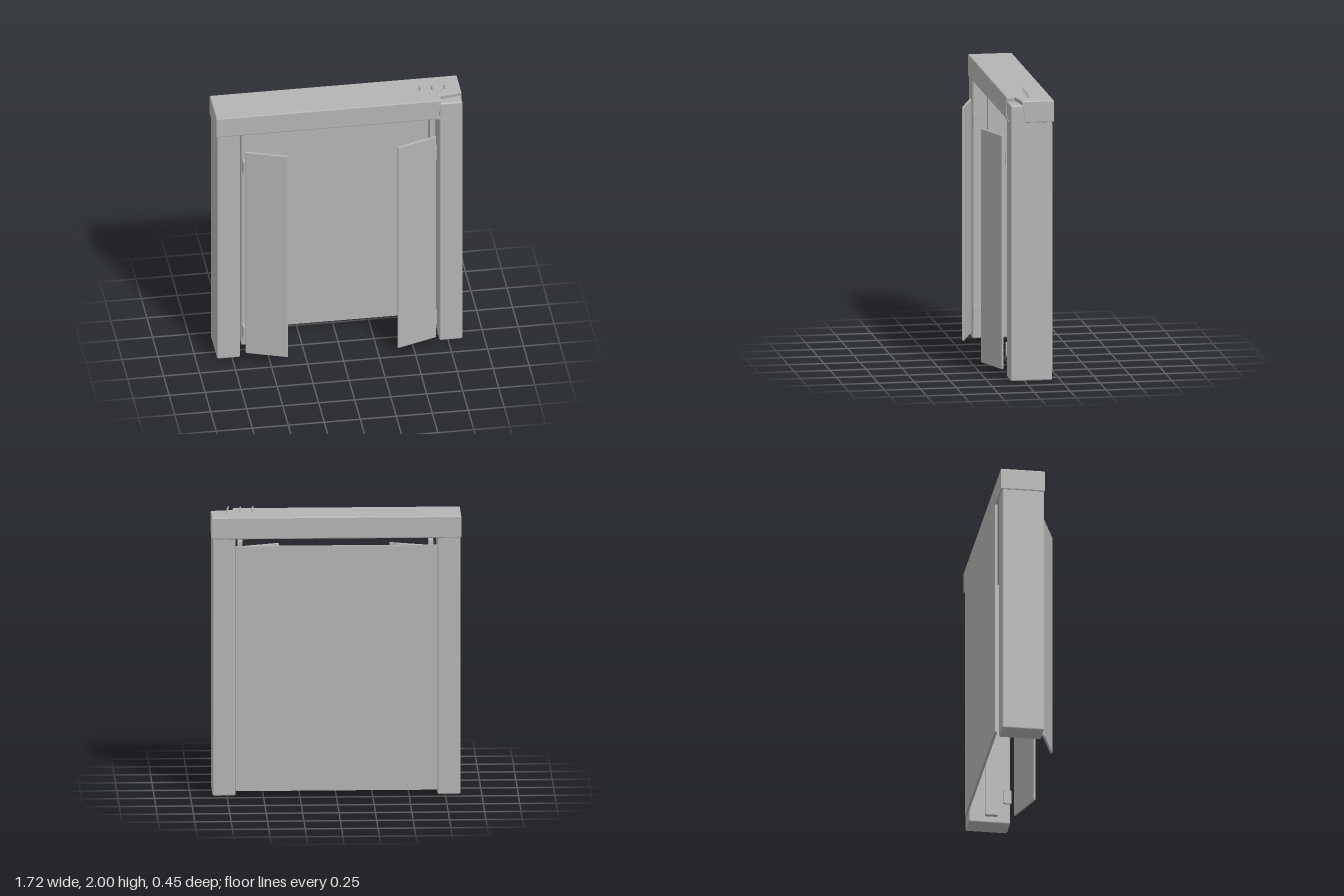
import * as THREE from 'three';
import { RoundedBoxGeometry } from 'three/addons/geometries/RoundedBoxGeometry.js';

export function createModel() {
  const model = new THREE.Group();
  model.name = 'gateway';
  const grey = new THREE.MeshStandardMaterial({ color: 0xb4b4b4 });
  grey.name = 'plain grey';

  const add = (name, geometry) => {
    const mesh = new THREE.Mesh(geometry, grey);
    mesh.name = name;
    model.add(mesh);
    return mesh;
  };

  // Box given by its lower and upper limits, with optional rounded edges
  const block = (name, [x0, x1], [y0, y1], [z0, z1], radius = 0) => {
    const size = [x1 - x0, y1 - y0, z1 - z0];
    const geometry = radius
      ? new RoundedBoxGeometry(...size, 2, radius)
      : new THREE.BoxGeometry(...size);
    const mesh = add(name, geometry);
    mesh.position.set((x0 + x1) / 2, (y0 + y1) / 2, (z0 + z1) / 2);
    return mesh;
  };

  // Posts: the left one reaches up into the broken corner of the lintel
  block('rightPost', [-0.855, -0.695], [0, 1.85], [-0.195, 0.097], 0.012);
  block('leftPost', [0.69, 0.85], [0, 1.93], [-0.195, 0.095], 0.012);

  // Lintel: plan outline with a broken-out front corner
  const outline = new THREE.Shape([
    [-0.86, -0.1], [0.69, -0.1], [0.69, -0.03], [0.855, -0.003], [0.855, 0.205], [-0.86, 0.205],
  ].map(([x, y]) => new THREE.Vector2(x, y)));
  const bevel = 0.008;
  const lintel = new THREE.ExtrudeGeometry(outline, {
    depth: 0.155 - 2 * bevel, bevelSize: bevel, bevelThickness: bevel, bevelOffset: -bevel, bevelSegments: 2,
  });
  lintel.rotateX(-Math.PI / 2).translate(0, 1.805 + bevel, 0);
  // Lean the broken faces
  const p = lintel.attributes.position;
  for (let i = 0; i < p.count; i++) {
    const lean = p.getY(i) - 1.88;
    if (p.getX(i) > 0.6 && p.getX(i) < 0.75 && p.getZ(i) > -0.05) p.setX(i, p.getX(i) + lean * 0.16);
    if (p.getX(i) > 0.6 && p.getZ(i) > -0.05 && p.getZ(i) < 0.06) p.setZ(i, p.getZ(i) + lean * 0.18);
  }
  lintel.computeVertexNormals();
  add('lintel', lintel);

  // Splinter left at the foot of the break
  const splinter = new THREE.Shape([
    new THREE.Vector2(0.66, 1.806), new THREE.Vector2(0.78, 1.806), new THREE.Vector2(0.67, 1.83),
  ]);
  add('lintelSplinter', new THREE.ExtrudeGeometry(splinter, { depth: 0.065, bevelEnabled: false }).translate(0, 0, 0.034));

  // Back panel
  block('backPanel', [-0.695, 0.69], [0.04, 1.76], [-0.222, -0.205]);

  for (const side of [-1, 1]) {
    const label = side > 0 ? 'left' : 'right';
    const span = (a, b) => (side > 0 ? [a, b] : [-b, -a]);

    // Upright strips inside the opening
    block(label + 'Jamb', span(0.638, 0.672), [0.04, 1.76], [-0.085, 0]);

    // Hinges
    for (const y of [0.14, 1.48]) block(label + 'Hinge', span(0.655, 0.672), [y, y + 0.1], [0.04, 0.098]);

    // Half-open door leaf
    const door = add(label + 'Door', new RoundedBoxGeometry(0.296, 1.635, 0.016, 2, 0.005));
    door.position.set(side * 0.52, 0.8675, 0.168);
    door.rotation.y = side * 0.34;
  }

  // Bent pins on top of the lintel
  for (const x of [0.57, 0.656, 0.74]) {
    const path = new THREE.CatmullRomCurve3([
      new THREE.Vector3(x + 0.005, 1.95, -0.048),
      new THREE.Vector3(x + 0.003, 1.975, -0.045),
      new THREE.Vector3(x - 0.004, 1.998, -0.039),
    ]);
    add('pin', new THREE.TubeGeometry(path, 6, 0.006, 8));
    const cap = add('pinTip', new THREE.SphereGeometry(0.006, 8, 6));
    cap.position.set(x - 0.004, 1.996, -0.039);
  }

  return model;
}
